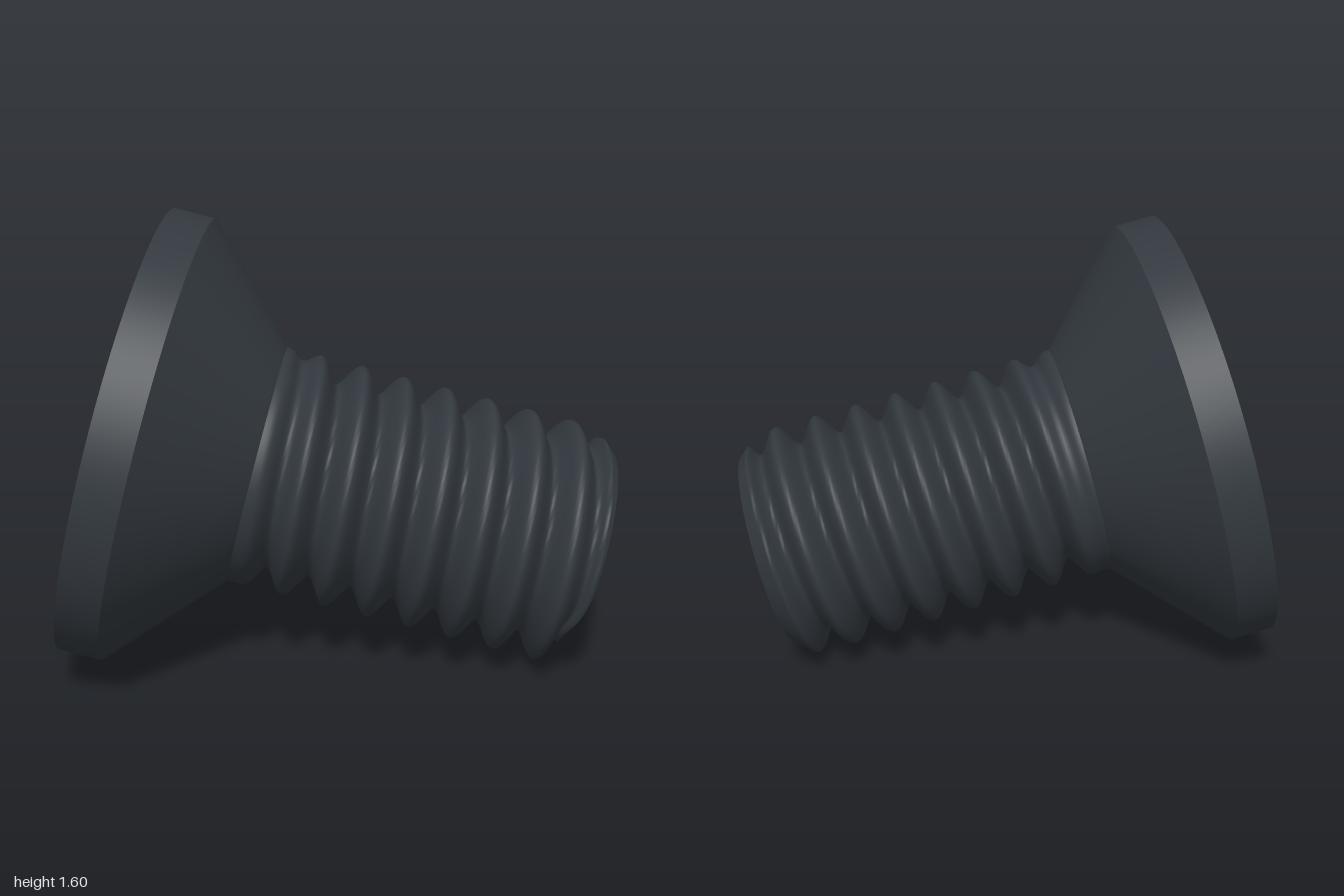
import * as THREE from 'three';

const R = 0.806, RIM = 0.147, NECK = 0.5, END = 1.716; // head radius, stations along the axis
const PITCH = 0.1545, ROOT = 0.345, CREST = 0.432;
const smooth = THREE.MathUtils.smoothstep;

// Closed surface made of rings around z, smooth across the seam
function rings(rows, cols, point) {
  const pos = [], idx = [];
  for (let i = 0; i <= rows; i++)
    for (let j = 0; j < cols; j++) pos.push(...point(i / rows, (j / cols) * Math.PI * 2));
  for (let i = 0; i < rows; i++)
    for (let j = 0; j < cols; j++) {
      const k = (j + 1) % cols, a = i * cols, b = a + cols;
      idx.push(a + j, a + k, b + j, a + k, b + k, b + j);
    }
  const g = new THREE.BufferGeometry();
  g.setAttribute('position', new THREE.Float32BufferAttribute(pos, 3));
  g.setIndex(idx);
  g.computeVertexNormals();
  return g;
}

// Lathe turned so its axis is z
const lathe = (pts) =>
  new THREE.LatheGeometry(pts.map(([r, s]) => new THREE.Vector2(r, s)), 96).rotateX(Math.PI / 2);

// Twelve corners of a plus sign, counter-clockwise
function cross(len, w) {
  const pts = [];
  for (let q = 0; q < 4; q++)
    for (const [x, y] of [[len, -w], [len, w], [w, w]])
      pts.push(new THREE.Vector2(x, y).rotateAround(new THREE.Vector2(), (q * Math.PI) / 2));
  return pts;
}

// Radius of the threaded shank
function shankRadius(s, a) {
  const c = Math.cos((2 * Math.PI * (s - 0.168)) / PITCH - a);
  const thread = ROOT + (CREST - ROOT) * Math.pow((1 + c) / 2, 0.8);
  const r = THREE.MathUtils.lerp(0.43, thread, smooth(s, NECK, 0.64));
  return Math.min(r, 0.36 + (END - s) * 0.9);
}

// Small hollow where the thread runs out through the end
function shankPoint(r, s, a) {
  const x = r * Math.cos(a), y = r * Math.sin(a);
  const d2 = (x + 0.22) ** 2 + (y - 0.2) ** 2;
  return [x, y, s - 0.05 * Math.exp(-d2 / 0.015) * smooth(s, END - 0.12, END)];
}

export function createModel() {
  const steel = new THREE.MeshStandardMaterial({ color: 0x33393f });
  steel.name = 'dark steel';
  const screw = new THREE.Group();
  screw.name = 'countersunkScrew';
  const add = (name, geometry) => {
    const m = new THREE.Mesh(geometry, steel);
    m.name = name;
    screw.add(m);
  };

  // Head
  add('headRim', lathe([[R, 0], [R, RIM]]));
  add('headCone', lathe([[R, RIM], [0.62, 0.322], [0.45, 0.482], [0.43, NECK]]));
  const disc = new THREE.Shape().absarc(0, 0, R, 0, Math.PI * 2);
  const top = cross(0.45, 0.13), low = cross(0.2, 0.1), depth = 0.36;
  disc.holes.push(new THREE.Path(top));
  add('headFace', new THREE.ShapeGeometry(disc, 48).rotateX(Math.PI));

  // Cross recess: tapering walls and floor
  const walls = [];
  top.forEach((p, i) => {
    const n = (i + 1) % 12, q = top[n], u = low[i], v = low[n];
    walls.push(p.x, p.y, 0, u.x, u.y, depth, q.x, q.y, 0);
    walls.push(q.x, q.y, 0, u.x, u.y, depth, v.x, v.y, depth);
  });
  const wallGeo = new THREE.BufferGeometry();
  wallGeo.setAttribute('position', new THREE.Float32BufferAttribute(walls, 3));
  wallGeo.computeVertexNormals();
  add('recessWalls', wallGeo);
  add('recessFloor', new THREE.ShapeGeometry(new THREE.Shape(low)).rotateX(Math.PI).translate(0, 0, depth));

  // Threaded shank and its end
  add('threadedShank', rings(150, 80, (t, a) => {
    const s = NECK + t * (END - NECK);
    return shankPoint(shankRadius(s, a), s, a);
  }));
  add('shankEnd', rings(14, 80, (t, a) => shankPoint(shankRadius(END, a) * (1 - t), END, a)));

  // Lean the screw so it rests on head rim and tip
  const axis = new THREE.Vector3(0.947, -0.244, 0.208).normalize();
  const h = new THREE.Vector3(-0.207, 0.03, 0.978);
  h.addScaledVector(axis, -h.dot(axis)).normalize();
  const v = new THREE.Vector3().crossVectors(h, axis);
  screw.quaternion.setFromRotationMatrix(new THREE.Matrix4().makeBasis(v, h, axis));
  screw.position.set(-0.741, 0.818, -0.0175);

  const model = new THREE.Group();
  model.name = 'screw';
  model.add(screw);
  return model;
}
